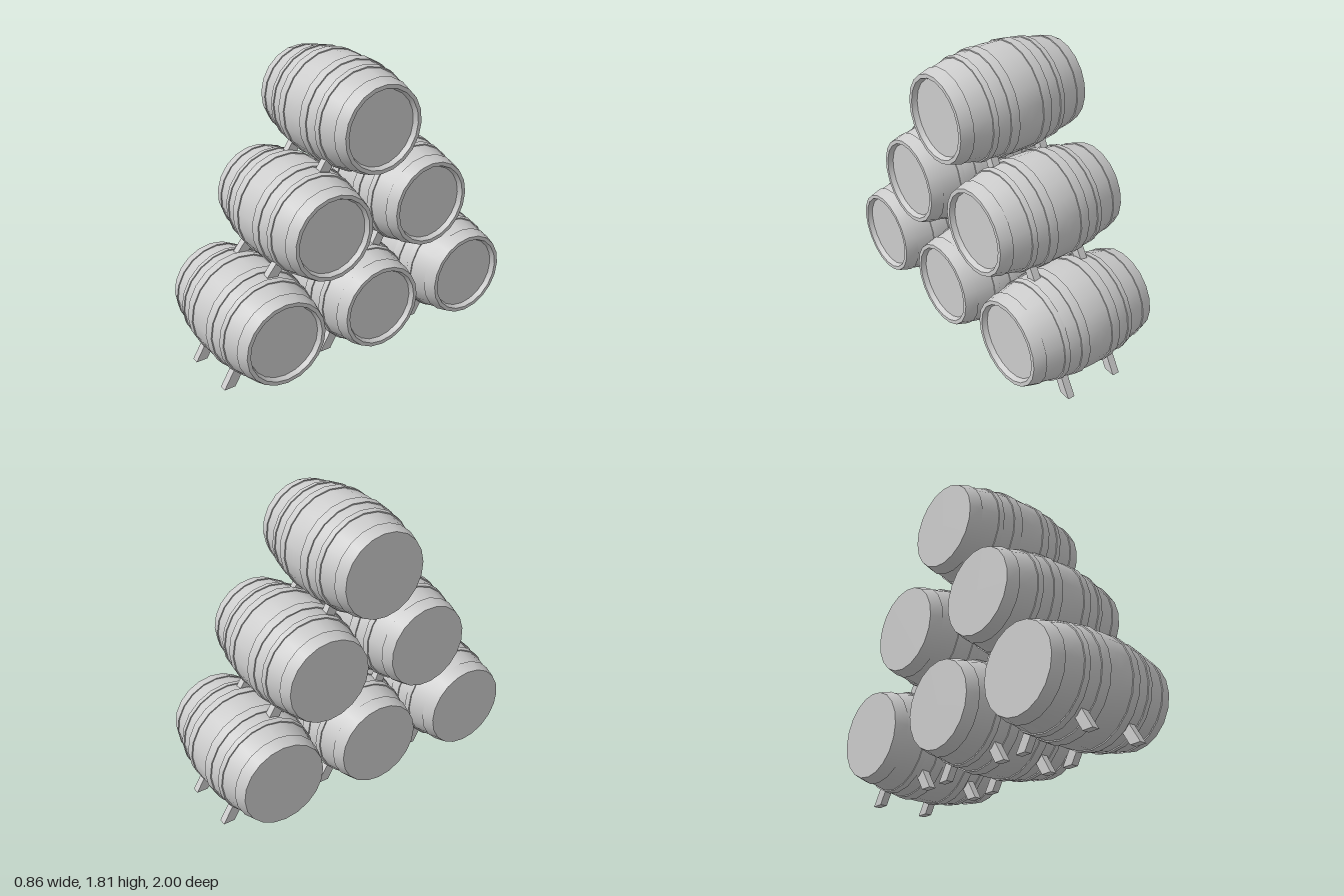
import * as THREE from 'three';
import { toCreasedNormals } from 'three/addons/utils/BufferGeometryUtils.js';

const HALF = 0.431;   // half length of a barrel
const HOOP = 0.007;   // hoop thickness
const SIDES = 20;

const bulge = (x) => 0.325 - 0.38 * x * x;

// Barrel along x: flat at the -x end, rimmed and recessed at the +x end
function barrelGeometry() {
  const hoops = [
    [-HALF, -0.356], [-0.246, -0.213], [-0.141, -0.081],
    [0.083, 0.138], [0.213, 0.246], [0.356, HALF],
  ];
  const profile = [[0, -HALF]];
  hoops.forEach(([a, b], i) => {
    if (i > 0) profile.push([bulge(a), a]);
    profile.push([bulge(a) + HOOP, a], [bulge(b) + HOOP, b]);
    if (i < hoops.length - 1) profile.push([bulge(b), b]);
    if (i === 2) profile.push([bulge(0), 0]);
  });
  profile.push([0.238, HALF], [0.226, HALF - 0.03], [0, HALF - 0.03]);
  const points = profile.map(([r, x]) => new THREE.Vector2(r, x));
  const geometry = new THREE.LatheGeometry(points, SIDES).rotateZ(-Math.PI / 2);
  return toCreasedNormals(geometry, 0.5);
}

// Slanted foot; side is +1 or -1 along z
function footGeometry(side) {
  const outline = [[0.287, -0.34], [0.215, -0.34], [0.117, -0.18], [0.189, -0.18]];
  const shape = new THREE.Shape(outline.map(([z, y]) => new THREE.Vector2(-side * z, y)));
  return new THREE.ExtrudeGeometry(shape, { depth: 0.045, bevelEnabled: false })
    .translate(0, 0, -0.0225)
    .rotateY(Math.PI / 2);
}

export function createModel() {
  const model = new THREE.Group();
  model.name = 'barrelStack';
  const grey = new THREE.MeshStandardMaterial({ color: 0xcccccc });
  grey.name = 'light grey';

  const body = barrelGeometry();
  const feet = { 1: footGeometry(1), [-1]: footGeometry(-1) };

  // Height, depth and roll (degrees) of each barrel
  const places = [
    [0.34, 0.672, 0], [0.34, 0, 0], [0.34, -0.665, 0],
    [0.912, 0.34, -8], [0.928, -0.35, 1],
    [1.483, 0.012, -3],
  ];
  places.forEach(([y, z, roll], i) => {
    const unit = new THREE.Group();
    unit.name = `barrelUnit${i + 1}`;
    const barrel = new THREE.Mesh(body, grey);
    barrel.name = 'barrel';
    unit.add(barrel);
    for (const side of [1, -1]) {
      for (const x of [-0.17, 0.17]) {
        const foot = new THREE.Mesh(feet[side], grey);
        foot.name = 'foot';
        foot.position.x = x;
        unit.add(foot);
      }
    }
    unit.position.set(0, y, z);
    unit.rotation.x = THREE.MathUtils.degToRad(roll);
    model.add(unit);
  });
  return model;
}
